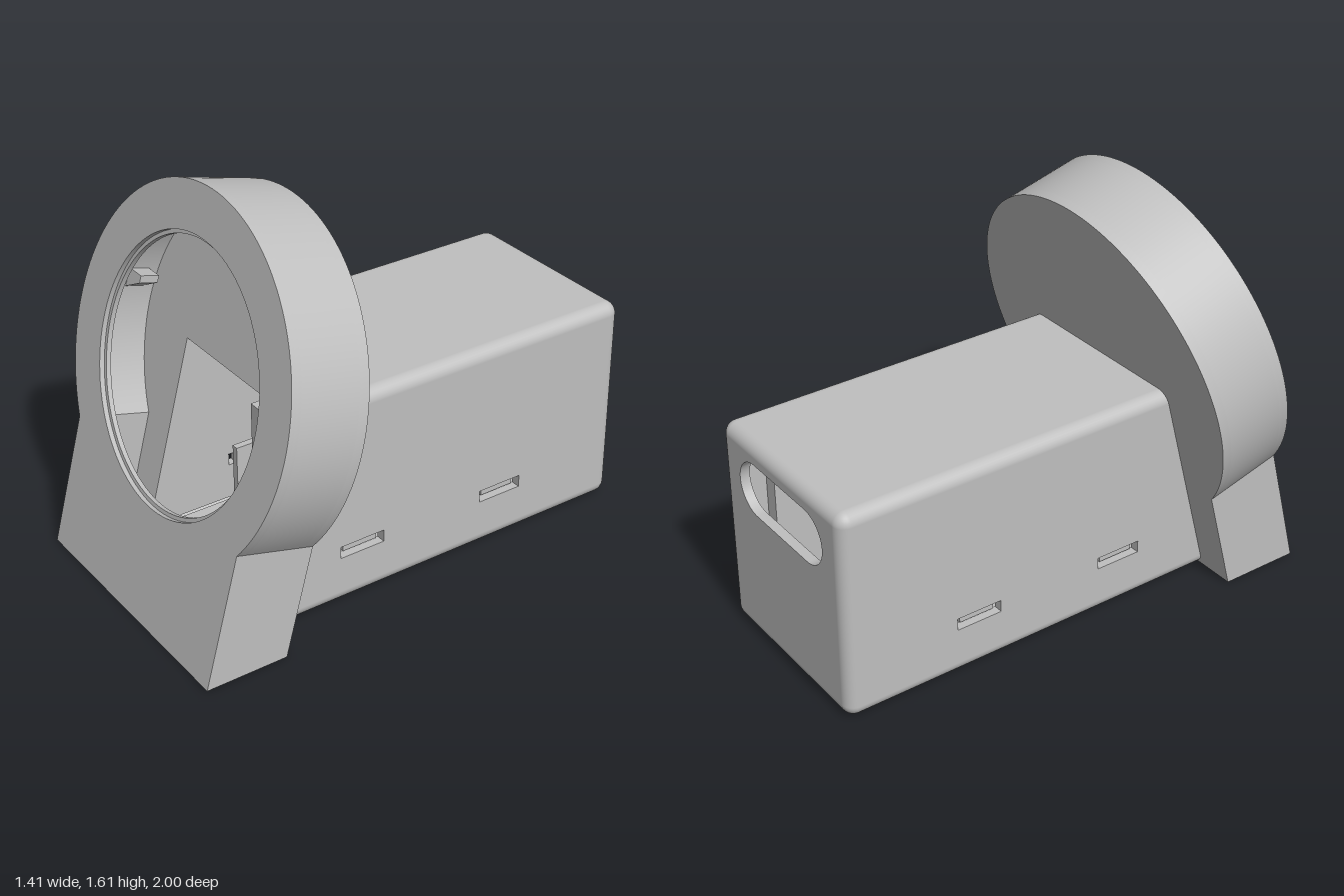
import * as THREE from 'three';
import { toCreasedNormals } from 'three/addons/utils/BufferGeometryUtils.js';

const TILT = THREE.MathUtils.degToRad(15);
const WALL = 0.04;
const ROUND = 0.05;

const polygon = pts => new THREE.Shape(pts.map(p => new THREE.Vector2(p[0], p[1])));
const rect = (x0, y0, x1, y1) => polygon([[x0, y0], [x1, y0], [x1, y1], [x0, y1]]);
const circle = (x, y, r) => new THREE.Shape().absarc(x, y, r, 0, Math.PI * 2, false);
const extrude = (shape, depth, curveSegments = 48) =>
  new THREE.ExtrudeGeometry(shape, { depth, bevelEnabled: false, curveSegments });

// Disc standing on a straight foot, shrunk by an inset
function dialOutline(inset) {
  const r = 0.705 - inset, w = 0.565 - inset, cy = 0.96;
  const a = Math.acos(w / r);
  const s = new THREE.Shape();
  s.moveTo(-w, inset);
  s.lineTo(w, inset);
  s.absarc(0, cy, r, -a, Math.PI + a, false);
  s.closePath();
  return s;
}

export function createModel() {
  const model = new THREE.Group();
  const grey = new THREE.MeshStandardMaterial({ color: 0xbfbfbf, side: THREE.DoubleSide });
  grey.name = 'grey plastic';

  const add = (parent, name, geometry, x = 0, y = 0, z = 0) => {
    const mesh = new THREE.Mesh(geometry, grey);
    mesh.name = name;
    mesh.position.set(x, y, z);
    parent.add(mesh);
    return mesh;
  };
  // Box given by its minimum and maximum corners
  const block = (parent, name, x0, y0, z0, x1, y1, z1) =>
    add(parent, name, new THREE.BoxGeometry(x1 - x0, y1 - y0, z1 - z0),
      (x0 + x1) / 2, (y0 + y1) / 2, (z0 + z1) / 2);

  // ---- Tilted hollow head, in layers from front to back ----
  const head = new THREE.Group();
  head.name = 'tiltedHead';
  head.position.z = 1;
  head.rotation.x = -TILT;
  model.add(head);

  const layer = (name, hole, front, back) => {
    const shape = dialOutline(0);
    shape.holes.push(hole);
    const g = extrude(shape, back - front);
    g.translate(0, 0, -back);
    // Slant the foot so that its underside lies level
    const p = g.attributes.position;
    for (let i = 0; i < p.count; i++) {
      if (p.getY(i) < 0.2) p.setY(i, p.getY(i) - p.getZ(i) * Math.tan(TILT));
    }
    add(head, name, toCreasedNormals(g, 0.5));
  };
  layer('frontRim', circle(0, 0.96, 0.522), 0, 0.02);
  layer('frontLip', circle(0, 0.96, 0.507), 0.02, WALL);
  layer('headWall', dialOutline(WALL), WALL, 0.284);
  layer('headBack', rect(-0.37, 0.0414, 0.37, 0.935), 0.284, 0.324);

  // Small clips hidden behind the lip
  for (const s of [-1, 1]) {
    const clip = polygon([[s * 0.665, 1.03], [s * 0.57, 1.08], [s * 0.57, 1.11], [s * 0.655, 1.11]]);
    add(head, 'rimClip', extrude(clip, 0.08), 0, 0, -0.24);
  }

  // ---- Rounded hollow housing ----
  const housing = new THREE.Group();
  housing.name = 'housing';
  model.add(housing);
  const X = 0.41, TOP = 0.87, BACK = -1;
  const ex = X - ROUND, ey0 = ROUND, ey1 = TOP - ROUND, ez = BACK + ROUND;

  // Side walls with slots; the front edge follows the tilt
  const slotCentres = [0.2225, -0.4275];
  const side = polygon([[-ez, ey0], [-ez, ey1], [-0.465, ey1], [-0.67, ey0]]);
  for (const z of slotCentres) side.holes.push(rect(-z - 0.0975, 0.2, -z + 0.0975, 0.25));
  for (const x of [-X, X - WALL]) add(housing, 'sideWall', extrude(side, WALL).rotateY(Math.PI / 2), x);

  // Top, back with its long opening, and floor with round recesses
  block(housing, 'topWall', -ex, TOP - WALL, ez, ex, TOP, 0.45);

  const back = rect(-ex, ey0, ex, ey1);
  const slot = new THREE.Path();
  slot.absarc(0.175, 0.68, 0.11, -Math.PI / 2, Math.PI / 2, false);
  slot.absarc(-0.175, 0.68, 0.11, Math.PI / 2, Math.PI * 1.5, false);
  slot.closePath();
  back.holes.push(slot);
  add(housing, 'backWall', toCreasedNormals(extrude(back, WALL, 16), 0.5), 0, 0, BACK);

  const floor = rect(-ex, ez, ex, 0.665);
  for (const x of [-0.233, 0.233]) {
    for (const z of [-0.68, 0.5]) floor.holes.push(circle(x, z, 0.088));
  }
  add(housing, 'floorUnderside', toCreasedNormals(extrude(floor, 0.03, 24).rotateX(Math.PI / 2), 0.5), 0, 0.03);
  block(housing, 'floor', -0.37, 0.03, BACK + WALL, 0.37, WALL, 0.68);

  // Rounded edges as quarter tubes
  const quarter = (length, start) =>
    new THREE.CylinderGeometry(ROUND, ROUND, length, 8, 1, true, start * Math.PI / 2, Math.PI / 2);
  const longEdges = [[ex, ey0, 0, 0.66], [ex, ey1, 1, 0.455], [-ex, ey1, 2, 0.455], [-ex, ey0, 3, 0.66]];
  for (const [x, y, start, front] of longEdges) {
    add(housing, 'longEdge', quarter(front - ez, start).rotateX(Math.PI / 2), x, y, (front + ez) / 2);
    add(housing, 'roundedCorner', new THREE.SphereGeometry(ROUND, 24, 16), x, y, ez);
  }
  for (const [x, start] of [[ex, 1], [-ex, 2]]) {
    add(housing, 'uprightEdge', quarter(ey1 - ey0, start), x, (ey0 + ey1) / 2, ez);
  }
  for (const [y, start] of [[ey1, 1], [ey0, 2]]) {
    add(housing, 'crossEdge', quarter(2 * ex, start).rotateZ(Math.PI / 2), 0, y, ez);
  }

  // ---- Inner fittings ----
  const fittings = new THREE.Group();
  fittings.name = 'innerFittings';
  model.add(fittings);
  block(fittings, 'frontPost', -0.095, WALL, 0.3, 0.095, 0.64, 0.38);
  block(fittings, 'rearPost', -0.11, WALL, 0.1, 0.11, 0.615, 0.19);

  for (const s of [-1, 1]) {
    // Hooked arm beside the back opening
    const arm = polygon([[0.37, WALL], [0.31, WALL], [0.31, 0.69], [0.18, 0.69],
      [0.18, 0.745], [0.31, 0.79], [0.37, 0.79]].map(([x, y]) => [s * x, y]));
    add(fittings, 'hookedArm', extrude(arm, 0.22), 0, 0, -0.85);
    // Snap tabs that catch in the side slots
    for (const z of slotCentres) {
      const tab = add(fittings, 'snapTab', new THREE.BoxGeometry(0.03, 0.26, 0.18), s * 0.335, 0.17, z);
      add(tab, 'snapNub', new THREE.BoxGeometry(0.04, 0.03, 0.15), s * 0.035, 0.058, 0);
    }
  }
  return model;
}
